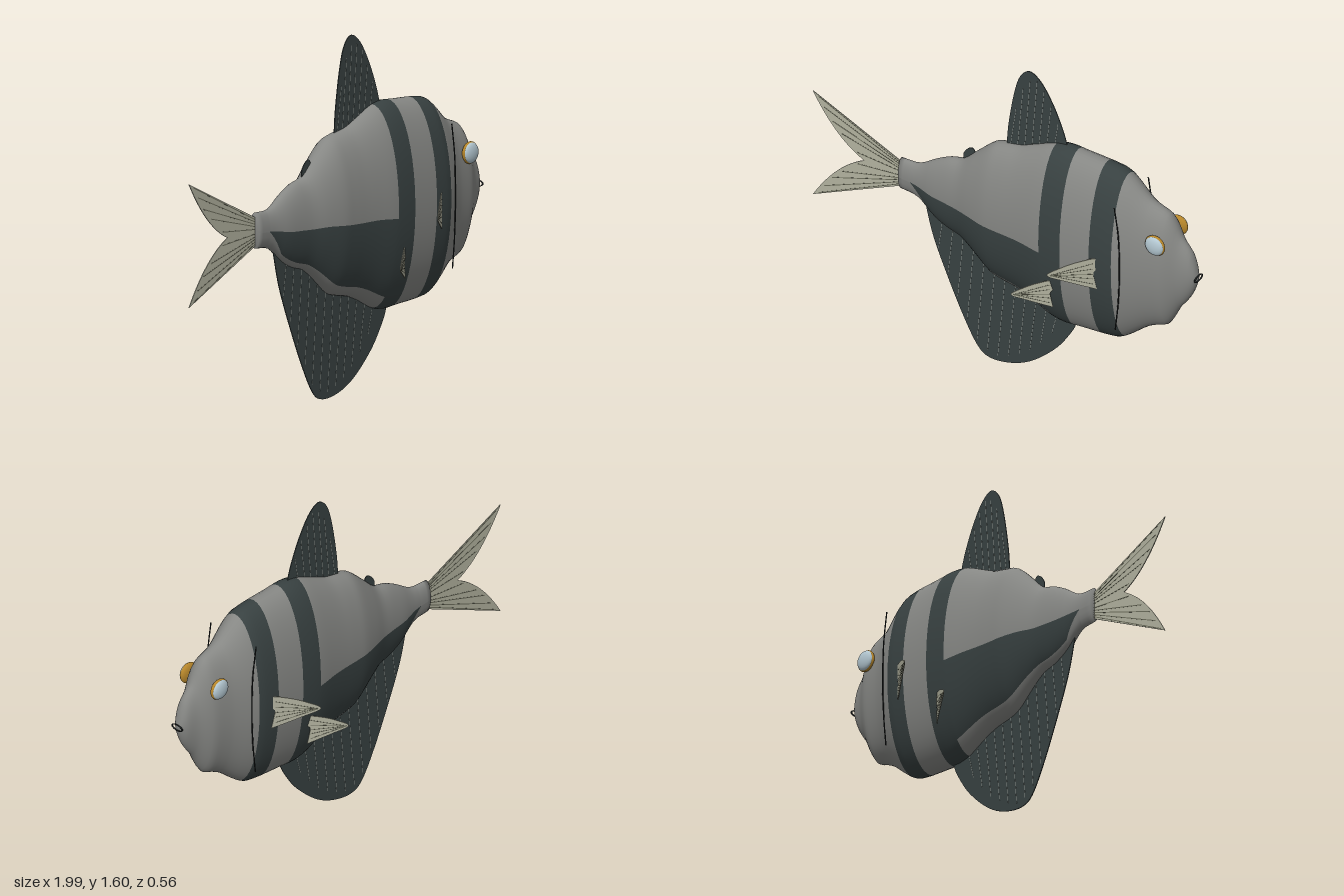
import * as THREE from 'three';

const mat = (name, color, side = THREE.FrontSide) => {
  const m = new THREE.MeshStandardMaterial({ color, side });
  m.name = name;
  return m;
};
const V = (x, y, z = 0) => new THREE.Vector3(x, y, z);
const V2 = (p) => new THREE.Vector2(p[0], p[1]);

// Body stations: x, top, bottom, half width
const STATIONS = [
  [-0.545, 0.9, 0.74, 0.028], [-0.45, 0.905, 0.725, 0.036], [-0.36, 0.96, 0.655, 0.056],
  [-0.29, 0.995, 0.62, 0.066], [-0.22, 1.015, 0.6, 0.078], [-0.15, 1.08, 0.55, 0.1],
  [-0.06, 1.16, 0.475, 0.123], [0, 1.178, 0.455, 0.128], [0.08, 1.195, 0.44, 0.134],
  [0.15, 1.225, 0.415, 0.142], [0.25, 1.268, 0.366, 0.156], [0.32, 1.28, 0.35, 0.159],
  [0.4, 1.275, 0.355, 0.159], [0.59, 1.26, 0.37, 0.157], [0.64, 1.235, 0.395, 0.147],
  [0.74, 1.15, 0.475, 0.113], [0.8, 1.124, 0.506, 0.101], [0.84, 1.108, 0.522, 0.094],
  [0.87, 1.07, 0.57, 0.08], [0.9, 1.01, 0.63, 0.062], [0.925, 0.978, 0.664, 0.051],
  [0.955, 0.94, 0.71, 0.041], [0.975, 0.885, 0.757, 0.028], [0.986, 0.835, 0.802, 0.014],
];

// Smooth interpolation between stations
function sectionAt(x) {
  const S = STATIONS, n = S.length;
  let i = 0;
  while (i < n - 2 && x > S[i + 1][0]) i++;
  const slope = (k, c) => {
    const a = S[Math.max(k - 1, 0)], b = S[Math.min(k + 1, n - 1)];
    return (b[c] - a[c]) / (b[0] - a[0]);
  };
  const d = S[i + 1][0] - S[i][0], t = (x - S[i][0]) / d, t2 = t * t, t3 = t2 * t;
  return [1, 2, 3].map((c) =>
    (2 * t3 - 3 * t2 + 1) * S[i][c] + (t3 - 2 * t2 + t) * d * slope(i, c) +
    (3 * t2 - 2 * t3) * S[i + 1][c] + (t3 - t2) * d * slope(i + 1, c));
}

// Elliptical loft; material groups: 0 plain skin, 1 dark bands and flank patch
function bodyGeometry() {
  const edges = [-0.48, -0.39, 0.26, 0.37, 0.52, 0.63];
  const xs = [...edges];
  for (let i = 0; i < STATIONS.length - 1; i++) {
    const a = STATIONS[i][0], b = STATIONS[i + 1][0], n = Math.max(2, Math.ceil((b - a) / 0.025));
    for (let k = 0; k < n; k++) {
      const x = a + ((b - a) * k) / n;
      if (edges.every((e) => Math.abs(e - x) > 0.005)) xs.push(x);
    }
  }
  xs.push(STATIONS[STATIONS.length - 1][0]);
  xs.sort((a, b) => a - b);

  const pos = [], plain = [], dark = [], N = 50;
  for (const x of xs) {
    const [top, bottom, w] = sectionAt(x);
    const cy = (top + bottom) / 2, h = (top - bottom) / 2;
    const low = -5 - 56 * THREE.MathUtils.clamp((x + 0.48) / 0.09, 0.03, 1);
    const half = [];
    for (let k = 0; k < 5; k++) half.push(-90 + ((low + 90) * k) / 5);
    for (let k = 0; k < 8; k++) half.push(low + ((-5 - low) * k) / 8);
    for (let k = 0; k <= 12; k++) half.push(-5 + (95 * k) / 12);
    const ring = [...half, ...half.slice(1, -1).reverse().map((a) => 180 - a)];
    for (const a of ring) {
      const r = THREE.MathUtils.degToRad(a);
      pos.push(x, cy + h * Math.sin(r), w * Math.cos(r));
    }
  }
  for (let i = 0; i < xs.length - 1; i++) {
    const mid = (xs[i] + xs[i + 1]) / 2;
    const band = (mid > 0.26 && mid < 0.37) || (mid > 0.52 && mid < 0.63);
    for (let j = 0; j < N; j++) {
      const k = j < 25 ? j : 49 - j, j2 = (j + 1) % N;
      const patch = k >= 5 && k < 13 && mid > -0.48 && mid < 0.26;
      const a = i * N + j, b = a + N, c = (i + 1) * N + j2, d = i * N + j2;
      (band || patch ? dark : plain).push(a, b, c, a, c, d);
    }
  }
  // End caps
  const last = (xs.length - 1) * N, tailC = pos.length / 3;
  pos.push(xs[0], 0.82, 0, 0.989, 0.818, 0);
  for (let j = 0; j < N; j++) {
    const j2 = (j + 1) % N;
    plain.push(tailC, j, j2, tailC + 1, last + j2, last + j);
  }
  const g = new THREE.BufferGeometry();
  g.setAttribute('position', new THREE.Float32BufferAttribute(pos, 3));
  g.setIndex([...plain, ...dark]);
  g.addGroup(0, plain.length, 0);
  g.addGroup(plain.length, dark.length, 1);
  g.computeVertexNormals();
  return g;
}

export function createModel() {
  const root = new THREE.Group();
  root.name = 'fish';
  const skin = mat('grey skin', 0x868784);
  const dark = mat('dark marking', 0x384141);
  const darkFin = mat('dark fin', 0x384141, THREE.DoubleSide);
  const paleFin = mat('pale fin', 0xb2b29f, THREE.DoubleSide);
  const paleRay = mat('pale ray', 0x8f9690);
  const oliveRay = mat('olive ray', 0x6c6d5c);
  const line = mat('black line', 0x1c2020);
  const gold = mat('gold eye rim', 0xb5852a);
  const glass = mat('pale eye', 0xb4c8d2);

  const add = (parent, name, geo, material) => {
    const m = new THREE.Mesh(geo, material);
    m.name = name;
    parent.add(m);
    return m;
  };
  // Thin plate from a smooth outline
  const plate = (parent, name, pts, material) => {
    const s = new THREE.Shape();
    s.moveTo(...pts[0]);
    s.splineThru(pts.slice(1).map(V2));
    const g = new THREE.ExtrudeGeometry(s, { depth: 0.004, bevelEnabled: false, curveSegments: 40 });
    return add(parent, name, g.translate(0, 0, -0.002), material);
  };
  // Slim fin ray between two points
  const ray = (parent, a, b, material, width = 0.004) => {
    const dx = b[0] - a[0], dy = b[1] - a[1];
    const m = add(parent, 'finRay', new THREE.BoxGeometry(Math.hypot(dx, dy), width, 0.0055), material);
    m.position.set((a[0] + b[0]) / 2, (a[1] + b[1]) / 2, 0);
    m.rotation.z = Math.atan2(dy, dx);
  };

  add(root, 'body', bodyGeometry(), [skin, dark]);

  // Dorsal, anal and small back fins
  const dorsal = new THREE.Group();
  dorsal.name = 'dorsalFin';
  plate(dorsal, 'dorsalMembrane', [[0, 1.15], [0.01, 1.28], [0.038, 1.45], [0.07, 1.555], [0.12, 1.598],
    [0.18, 1.56], [0.24, 1.465], [0.29, 1.35], [0.32, 1.25]], darkFin);
  [1.38, 1.5, 1.55, 1.56, 1.52, 1.45, 1.37].forEach((y, i) => {
    const x = 0.02 + i * 0.036;
    ray(dorsal, [x, 1.17], [x + 0.03, y], paleRay, 0.002);
  });
  const anal = new THREE.Group();
  anal.name = 'analFin';
  plate(anal, 'analMembrane', [[-0.42, 0.71], [-0.38, 0.55], [-0.31, 0.37], [-0.22, 0.17], [-0.145, 0.04],
    [-0.08, 0.003], [0.02, 0.014], [0.12, 0.058], [0.22, 0.14], [0.3, 0.235], [0.36, 0.36], [0.3, 0.45],
    [0, 0.52], [-0.2, 0.64]], darkFin);
  [0.49, 0.38, 0.27, 0.17, 0.08, 0.04, 0.03, 0.05, 0.08, 0.12, 0.18, 0.25].forEach((y, i) => {
    const x = -0.33 + i * 0.054;
    ray(anal, [x, sectionAt(x)[1] + 0.01], [x - 0.04 * (1 - y), y], paleRay, 0.002);
  });
  root.add(dorsal, anal);
  plate(root, 'smallBackFin', [[-0.22, 1], [-0.222, 1.04], [-0.2, 1.073], [-0.175, 1.084], [-0.16, 1.06], [-0.16, 1.02]], darkFin);

  // Forked tail with fanned rays
  const tail = new THREE.Group();
  tail.name = 'tailFin';
  const s = new THREE.Shape();
  s.moveTo(-0.535, 0.875);
  s.lineTo(-1, 1.09);
  s.quadraticCurveTo(-0.88, 0.88, -0.735, 0.815);
  s.quadraticCurveTo(-0.88, 0.745, -1, 0.54);
  s.lineTo(-0.535, 0.755);
  add(tail, 'tailMembrane', new THREE.ExtrudeGeometry(s, { depth: 0.004, bevelEnabled: false }).translate(0, 0, -0.002), paleFin);
  for (const side of [1, -1]) {
    [[0.052, -0.97, 0.256], [0.042, -0.94, 0.208], [0.032, -0.9, 0.15], [0.022, -0.85, 0.1], [0.01, -0.77, 0.03]]
      .forEach(([y0, x, y]) => ray(tail, [-0.54, 0.815 + side * y0], [x, 0.815 + side * y], oliveRay));
  }
  root.add(tail);

  // Paired side fins, swept back and outward
  const sideFin = (name, side, base, length, height, sweep) => {
    const fin = new THREE.Group();
    fin.name = name;
    const h = height / 2;
    plate(fin, 'finMembrane', [[0, -h], [length * 0.05, -h * 0.35], [length * 0.07, h * 0.1], [0, h * 0.4], [length * 0.01, h],
      [length * 0.35, h * 0.85], [length * 0.7, h * 0.5], [length, 0], [length * 0.6, -h * 0.45], [0, -h]], paleFin);
    for (const k of [-0.65, -0.3, 0, 0.35, 0.7])
      ray(fin, [length * 0.08, k * h], [length * 0.95, 0], oliveRay, 0.003);
    fin.position.set(base[0], base[1], side * base[2]);
    fin.rotation.y = side * -(Math.PI - sweep);
    root.add(fin);
  };
  for (const side of [1, -1]) {
    const tag = side > 0 ? 'Right' : 'Left';
    sideFin('pectoralFin' + tag, side, [0.56, 0.77, 0.152], 0.22, 0.16, 0.61);
    sideFin('pelvicFin' + tag, side, [0.325, 0.57, 0.137], 0.185, 0.14, 0.58);

    // Gill line
    const gill = new THREE.CatmullRomCurve3([V(0.643, 1.145, side * 0.141), V(0.663, 1, side * 0.141),
      V(0.669, 0.82, side * 0.141), V(0.663, 0.65, side * 0.141), V(0.648, 0.5, side * 0.141)]);
    add(root, 'gillLine' + tag, new THREE.TubeGeometry(gill, 30, 0.003, 6), line);

    // Eye: gold rim with a pale dome
    const rim = add(root, 'eyeRim' + tag, new THREE.SphereGeometry(0.05, 28, 18), gold);
    rim.position.set(0.825, 0.985, side * 0.095);
    rim.scale.z = 0.4;
    const dome = add(root, 'eyeDome' + tag, new THREE.SphereGeometry(0.046, 28, 18), glass);
    dome.position.set(0.825, 0.985, side * 0.102);
    dome.scale.z = 0.38;
  }

  // Mouth ring
  const mouth = add(root, 'mouth', new THREE.TorusGeometry(0.031, 0.004, 8, 32), line);
  mouth.position.set(0.99, 0.815, 0);
  mouth.rotation.y = Math.PI / 2;
  mouth.scale.y = 0.45;
  return root;
}
